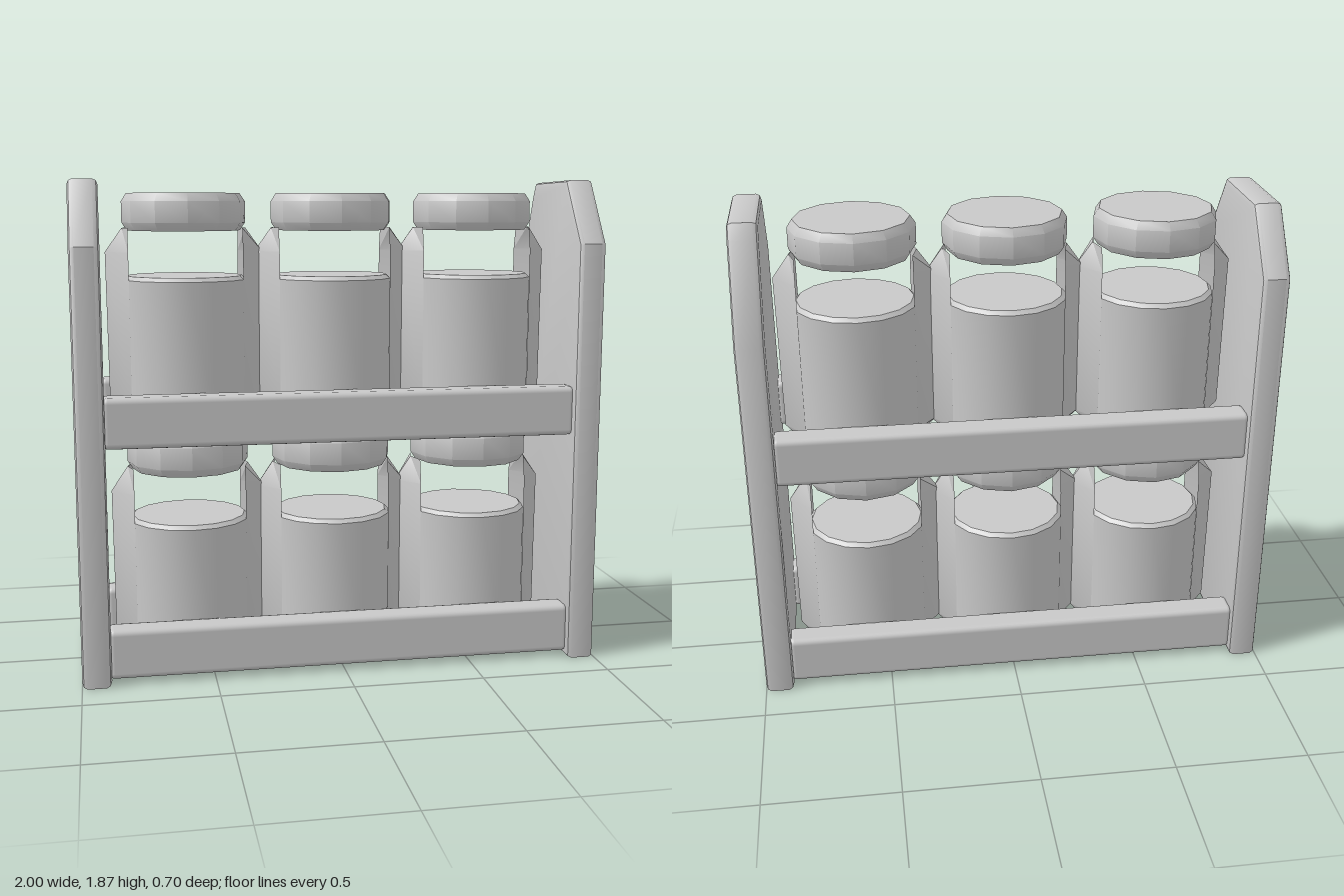
import * as THREE from 'three';
import { toCreasedNormals } from 'three/addons/utils/BufferGeometryUtils.js';
import { RoundedBoxGeometry } from 'three/addons/geometries/RoundedBoxGeometry.js';

const grey = new THREE.MeshStandardMaterial({ color: 0xc8c8c8 });
grey.name = 'plain grey';
grey.side = THREE.DoubleSide;

function add(parent, name, geometry, x = 0, y = 0, z = 0) {
  const mesh = new THREE.Mesh(geometry, grey);
  mesh.name = name;
  mesh.position.set(x, y, z);
  parent.add(mesh);
  return mesh;
}

function lathe(points, sides) {
  const profile = points.map(([r, y]) => new THREE.Vector2(r, y));
  return toCreasedNormals(new THREE.LatheGeometry(profile, sides), 0.7);
}

// Upright board with cut top corners and softened edges; outline in (z, y)
function panelGeometry(outline) {
  const bevel = 0.02;
  const shape = new THREE.Shape(outline.map(([z, y]) => new THREE.Vector2(-z, y)));
  const geo = new THREE.ExtrudeGeometry(shape, {
    depth: 0.07, bevelEnabled: true, bevelThickness: bevel,
    bevelSize: bevel, bevelOffset: -bevel, bevelSegments: 2,
  });
  geo.translate(0, 0, -0.035);
  geo.rotateY(Math.PI / 2);
  return toCreasedNormals(geo, 0.6);
}

// V-shaped glass rib: levels of [outer radius, half width, y], inner edge at r = 0.215
function ribGeometry(levels) {
  const inner = 0.215, pos = [], index = [];
  for (const [r, w, y] of levels) pos.push(inner, y, w, r, y, 0, inner, y, -w);
  for (let i = 0; i < levels.length - 1; i++) {
    for (let j = 0; j < 2; j++) {
      const a = i * 3 + j, b = a + 1, c = a + 3, d = a + 4;
      index.push(a, b, c, b, d, c);
    }
  }
  const geo = new THREE.BufferGeometry();
  geo.setAttribute('position', new THREE.Float32BufferAttribute(pos, 3));
  geo.setIndex(index);
  geo.computeVertexNormals();
  return toCreasedNormals(geo, 0.6);
}

// Jar standing on its own y = 0
function createJar(name, fillTop, shoulder, capBottom, capTop) {
  const jar = new THREE.Group();
  jar.name = name;

  add(jar, 'contents', lathe([
    [0, 0], [0.19, 0], [0.235, 0.04], [0.235, fillTop - 0.015], [0.22, fillTop], [0, fillTop],
  ], 16));

  add(jar, 'cap', lathe([
    [0, capBottom], [0.215, capBottom], [0.235, capBottom + 0.03],
    [0.235, capTop - 0.03], [0.215, capTop], [0, capTop],
  ], 12));

  const rib = ribGeometry([
    [0.23, 0.06, 0.0], [0.295, 0.1, 0.06], [0.3, 0.1, shoulder], [0.235, 0.08, capBottom + 0.01],
  ]);
  for (const side of [0, 1]) add(jar, 'glassRib', rib).rotation.y = side * Math.PI;
  return jar;
}

export function createModel() {
  const rack = new THREE.Group();
  rack.name = 'jarRack';

  // End panels; the left one has a longer cut at the rear
  add(rack, 'rightPanel', panelGeometry([
    [0.35, 0], [0.35, 1.63], [0.18, 1.87], [-0.18, 1.865], [-0.35, 1.63], [-0.35, 0],
  ]), -0.945);
  add(rack, 'leftPanel', panelGeometry([
    [0.35, 0], [0.35, 1.63], [0.18, 1.87], [-0.18, 1.865], [-0.21, 1.81], [-0.35, 1.46], [-0.35, 0],
  ]), 0.945);

  // Front and back rails on both tiers
  const rail = new RoundedBoxGeometry(1.8, 0.19, 0.107, 2, 0.022);
  for (const y of [0.115, 0.99]) {
    for (const z of [-0.272, 0.272]) add(rack, z > 0 ? 'frontRail' : 'backRail', rail, 0, y, z);
  }

  // Three jars on each tier
  for (const x of [-0.57, 0, 0.565]) {
    const lower = createJar('lowerJar', 0.55, 0.65, 0.735, 0.88);
    lower.position.set(x, 0.025, 0);
    const upper = createJar('upperJar', 0.57, 0.66, 0.74, 0.88);
    upper.position.set(x, 0.94, 0);
    rack.add(lower, upper);
  }
  return rack;
}
